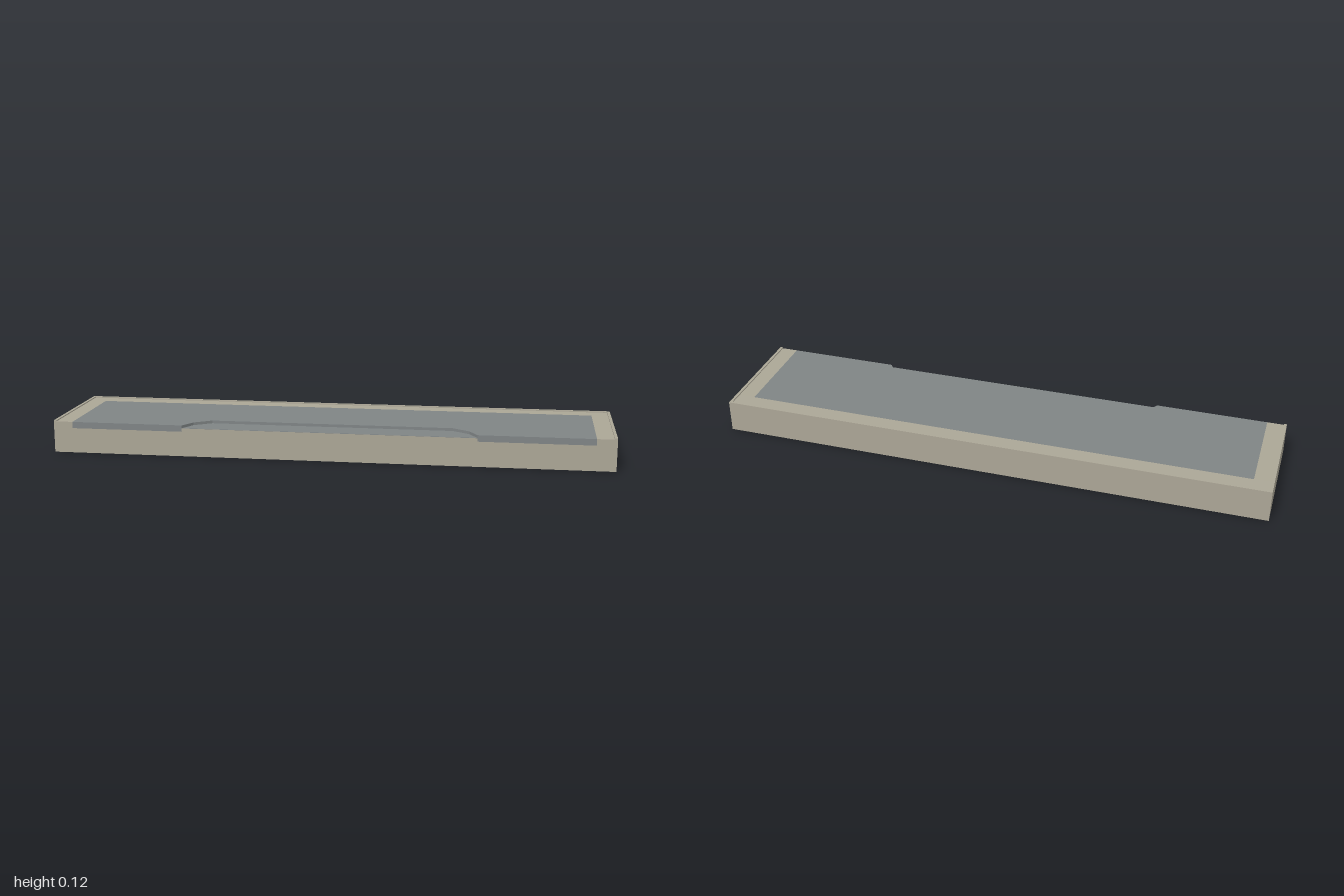
import * as THREE from 'three';

export function createModel() {
  const stone = new THREE.MeshStandardMaterial({ color: 0xaba696 });
  stone.name = 'warm stone';
  const slate = new THREE.MeshStandardMaterial({ color: 0x7f8485 });
  slate.name = 'slate grey';

  const model = new THREE.Group();
  model.name = 'traySlab';

  const W = 1, D = 0.222;          // half width and half depth
  const BASE = 0.09, TOP = 0.113, RIM = 0.117, FLOOR = 0.103;
  const IN_X = 0.93, IN_Z = -0.155; // limits of the grey inlay

  // Box given by its minimum and maximum corners
  function box(name, material, x0, x1, y0, y1, z0, z1) {
    const mesh = new THREE.Mesh(new THREE.BoxGeometry(x1 - x0, y1 - y0, z1 - z0), material);
    mesh.position.set((x0 + x1) / 2, (y0 + y1) / 2, (z0 + z1) / 2);
    mesh.name = name;
    model.add(mesh);
  }

  // Flat outline (x, z) extruded upward from y0 to y1
  function slab(name, material, points, y0, y1) {
    const shape = new THREE.Shape(points.map(([x, z]) => new THREE.Vector2(x, -z)));
    const geometry = new THREE.ExtrudeGeometry(shape, { depth: y1 - y0, bevelEnabled: false });
    geometry.rotateX(-Math.PI / 2);
    const mesh = new THREE.Mesh(geometry, material);
    mesh.position.y = y0;
    mesh.name = name;
    model.add(mesh);
  }

  // Solid base and the border around the inlay
  box('base', stone, -W, W, 0, BASE, -D, D);
  box('backBorder', stone, -W, W, BASE, TOP, -D, IN_Z);
  box('rightBorder', stone, -W, -IN_X, BASE, TOP, IN_Z, D);
  box('leftBorder', stone, IN_X, W, BASE, TOP, IN_Z, D);

  // Low raised lip on the back and both ends
  const lip = 0.01;
  box('backLip', stone, -W, W, TOP, RIM, -D, -D + lip);
  box('rightLip', stone, -W, -W + lip, TOP, RIM, -D + lip, D);
  box('leftLip', stone, W - lip, W, TOP, RIM, -D + lip, D);

  // Grey inlay with a chamfered recess cut into its front edge
  const notch = [[0.525, D], [0.495, 0.168], [0.435, 0.127],
    [-0.435, 0.127], [-0.495, 0.168], [-0.525, D]];
  slab('inlay', slate, [[-IN_X, D], [-IN_X, IN_Z], [IN_X, IN_Z], [IN_X, D], ...notch], BASE, TOP);

  // Recess: stone step faced with a thin grey floor
  slab('recessStep', stone, notch, BASE, FLOOR - 0.001);
  slab('recessFloor', slate, notch, FLOOR - 0.001, FLOOR);

  return model;
}
